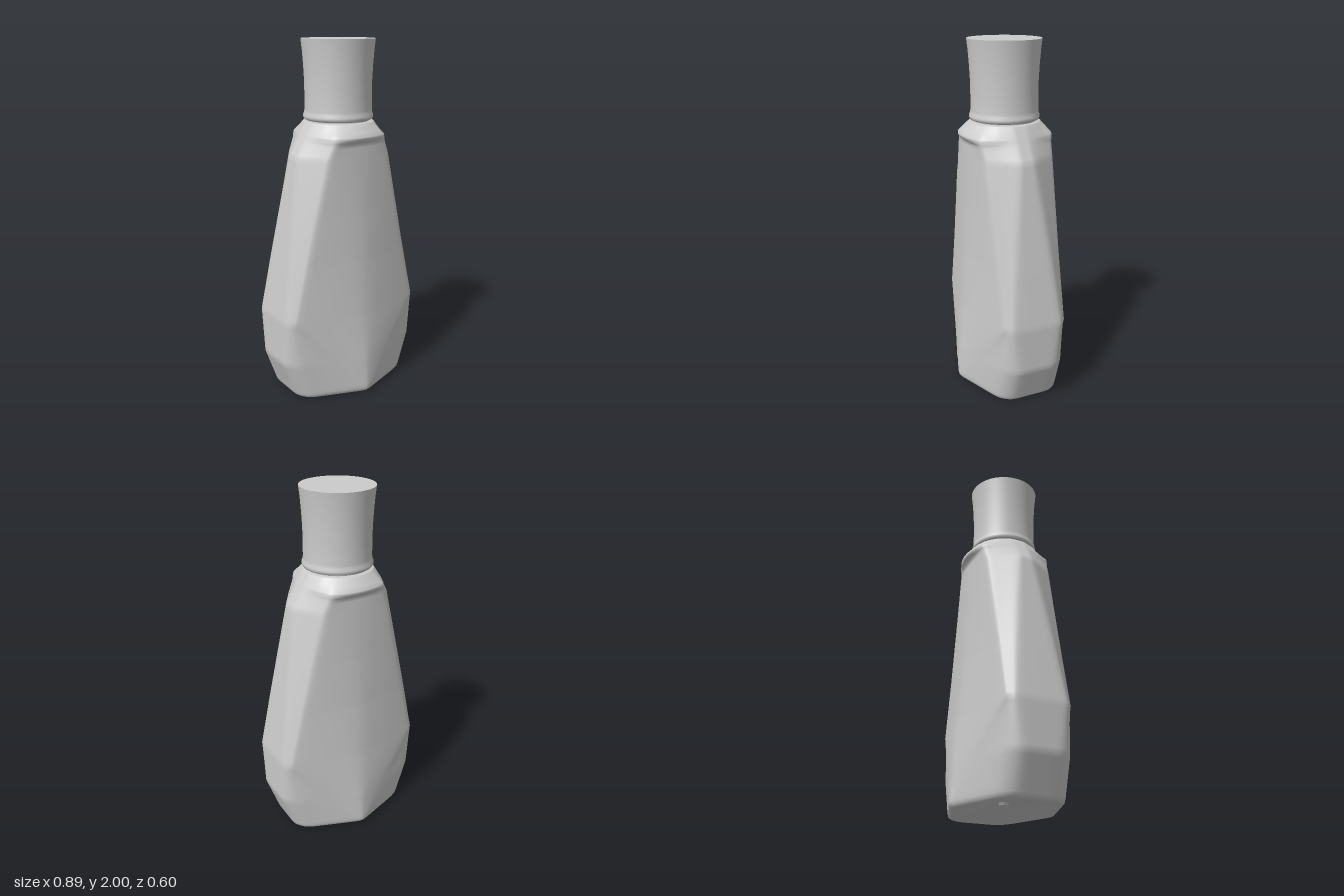
import * as THREE from 'three';

const MAT = new THREE.MeshStandardMaterial({ color: 0xcccccc });
const lerp = THREE.MathUtils.lerp;

// Quarter sections: y, front depth, panel edge x z, bevel x z, side edge x z, panel curve power
const KEYS = [
  [0.03, 0.302, 0.03, 0.296, 0.33, 0.185, 0.378, 0.12, 1.3],
  [0.22, 0.292, 0.17, 0.252, 0.395, 0.18, 0.446, 0.12, 1.3],
  [0.48, 0.268, 0.405, 0.187, 0.428, 0.165, 0.446, 0.14, 1.3],
  [0.8, 0.247, 0.333, 0.19, 0.364, 0.15, 0.395, 0.11, 1.4],
  [1.1, 0.233, 0.265, 0.196, 0.305, 0.135, 0.346, 0.075, 1.6],
  [1.38, 0.225, 0.2, 0.203, 0.25, 0.122, 0.301, 0.04, 1.8],
  [1.455, 0.222, 0.17, 0.21, 0.215, 0.125, 0.258, 0.04, 2],
  [1.475, 0.248, 0.168, 0.212, 0.21, 0.123, 0.246, 0.04, 2],
  [1.495, 0.254, 0.163, 0.21, 0.205, 0.122, 0.235, 0.04, 2],
  [1.555, 0.202, 0.12, 0.162, 0.165, 0.115, 0.198, 0.04, 2],
];
const PANEL = 12, BEVEL = 8, CORNER = 4, SIDE = 5;

// Section values at a height
function keyAt(y) {
  let i = 0;
  while (i < KEYS.length - 2 && y > KEYS[i + 1][0]) i++;
  const a = KEYS[i], b = KEYS[i + 1];
  const t = THREE.MathUtils.clamp((y - a[0]) / (b[0] - a[0]), 0, 1);
  return a.map((v, k) => lerp(v, b[k], t));
}

// Closed [x, z] outline at a height, starting at the front centre, corners softened
function ring(y) {
  const [, zc, x1, z1, x2, z2, x3, z3, power] = keyAt(y);
  const q = [];
  for (let i = 0; i < PANEL; i++) {
    const s = i / PANEL;
    q.push([x1 * s, lerp(zc, z1, s ** power)]);
  }
  const line = (ax, az, bx, bz, n) => {
    for (let i = 0; i < n; i++) q.push([lerp(ax, bx, i / n), lerp(az, bz, i / n)]);
  };
  line(x1, z1, x2, z2, BEVEL);
  line(x2, z2, x3, z3, CORNER);
  line(x3, z3, x3, 0, SIDE);
  q.push([x3, 0]);
  const half = [...q, ...q.slice(0, -1).reverse().map(([x, z]) => [x, -z])];
  let pts = [...half, ...half.slice(1, -1).reverse().map(([x, z]) => [-x, z])];
  const n = pts.length;
  for (let pass = 0; pass < 2; pass++) {
    pts = pts.map((p, i) => p.map((v, k) =>
      0.5 * v + 0.25 * (pts[(i + n - 1) % n][k] + pts[(i + 1) % n][k])));
  }
  return pts;
}

// Skin between rows of points
function skin(rows, closed) {
  const n = rows[0].length, index = [];
  for (let r = 0; r < rows.length - 1; r++) {
    for (let i = 0; i < (closed ? n : n - 1); i++) {
      const j = (i + 1) % n;
      const a = r * n + i, b = r * n + j, c = b + n, d = a + n;
      index.push(a, b, c, a, c, d);
    }
  }
  const g = new THREE.BufferGeometry();
  g.setAttribute('position', new THREE.Float32BufferAttribute(rows.flat(2), 3));
  g.setIndex(index);
  g.computeVertexNormals();
  return g;
}

function add(group, name, geometry, material = MAT) {
  const mesh = new THREE.Mesh(geometry, material);
  mesh.name = name;
  group.add(mesh);
  return mesh;
}

export function createModel() {
  const model = new THREE.Group();
  model.name = 'bottle';

  // Body: hollowed underside, rounded foot, faceted sides, shoulder and lip
  const row = (y, scale = 1) => ring(y).map(([x, z]) => [x * scale, y, z * scale]);
  const rows = [[0.05, 0.001], [0.05, 0.12], [0.025, 0.5], [0.004, 0.83], [0, 0.87], [0, 0.92],
    [0.004, 0.955], [0.013, 0.985]].map(([y, s]) => row(y, s));
  for (let k = 0; k < KEYS.length - 1; k++) {
    const a = KEYS[k][0], b = KEYS[k + 1][0];
    const steps = Math.max(2, Math.ceil((b - a) / 0.025));
    for (let i = 0; i < steps; i++) rows.push(row(lerp(a, b, i / steps)));
  }
  rows.push(row(1.555), row(1.56, 0.97), row(1.562, 0.8));
  add(model, 'body', skin(rows, true));

  // Label: thin sheet following the front panel
  const labelRows = [];
  const reach = PANEL - 1;
  for (const [a, b, steps] of [[0.1, 0.48, 16], [0.48, 1.25, 24]]) {
    for (let i = 0; i <= steps; i++) {
      const y = lerp(a, b, i / steps), pts = ring(y), line = [];
      for (let k = -reach; k <= reach; k++) {
        const [x, z] = pts[(k + pts.length) % pts.length];
        line.push([x, y, z + 0.003]);
      }
      if (!(a === 0.48 && i === 0)) labelRows.push(line);
    }
  }
  const thin = MAT.clone();
  thin.side = THREE.DoubleSide;
  add(model, 'frontLabel', skin(labelRows, false), thin);

  // Moulding nub under the base
  add(model, 'baseNub', new THREE.CylinderGeometry(0.03, 0.022, 0.015, 24)).position.y = 0.045;

  // Neck and flared cap
  add(model, 'neck', new THREE.CylinderGeometry(0.175, 0.175, 0.06, 64)).position.y = 1.56;
  const profile = [[0.001, 1.566], [0.18, 1.566], [0.19, 1.57], [0.195, 1.58], [0.195, 1.59],
    [0.19, 1.603], [0.187, 1.62], [0.186, 1.7], [0.187, 1.78], [0.191, 1.86], [0.197, 1.94], [0.204, 2]];
  add(model, 'cap', new THREE.LatheGeometry(profile.map(([x, y]) => new THREE.Vector2(x, y)), 64));
  const top = add(model, 'capTop', new THREE.CircleGeometry(0.204, 64));
  top.rotation.x = -Math.PI / 2;
  top.position.y = 2;

  return model;
}
